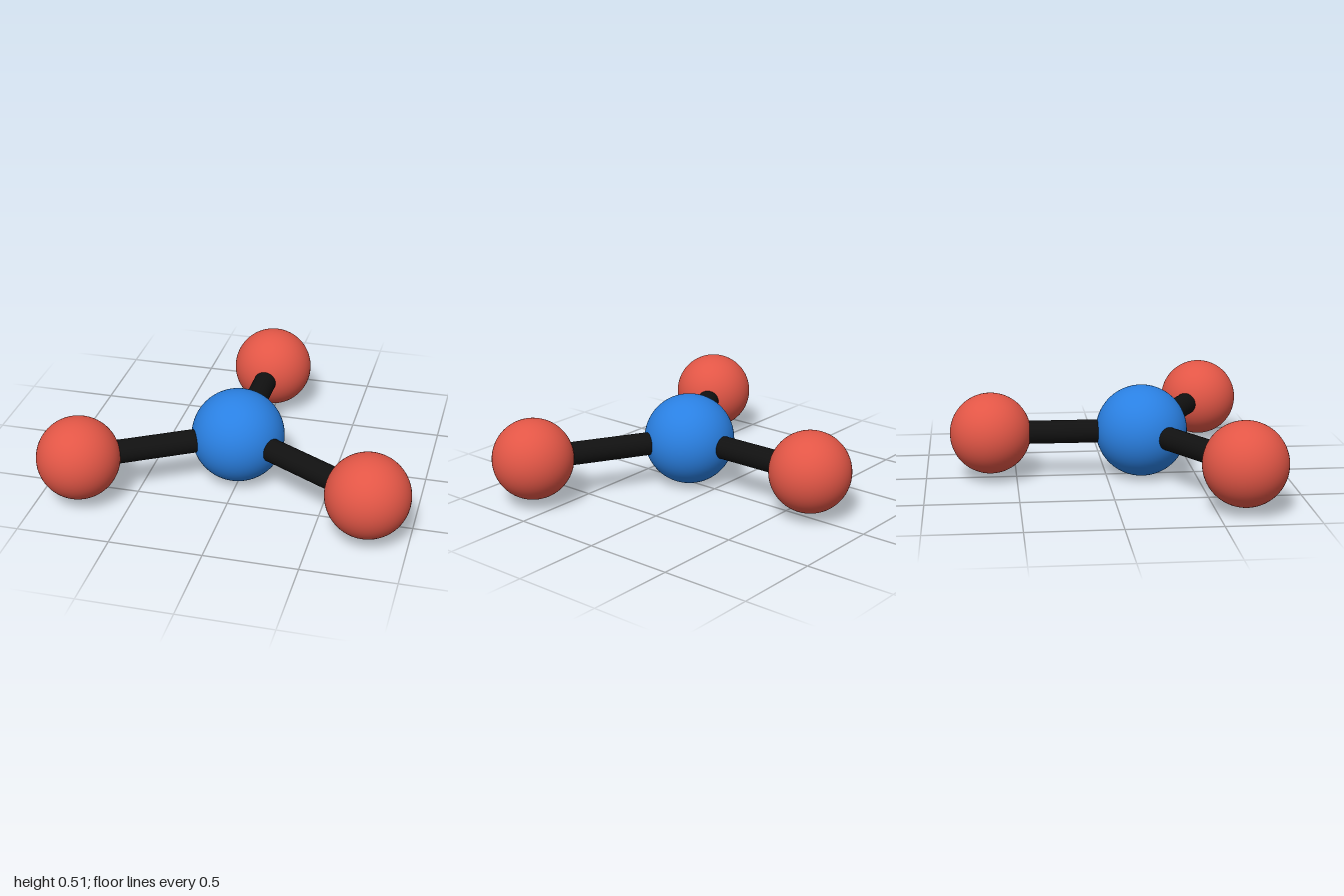
import * as THREE from 'three';

const CENTRE_RADIUS = 0.254;
const OUTER_RADIUS = 0.223;
const BOND_RADIUS = 0.064;

export function createModel() {
  const model = new THREE.Group();
  model.name = 'trigonalMolecule';

  const blue = new THREE.MeshStandardMaterial({ color: 0x2a80e2 });
  const red = new THREE.MeshStandardMaterial({ color: 0xe25646 });
  const black = new THREE.MeshStandardMaterial({ color: 0x111111 });

  const addAtom = (name, radius, position, material) => {
    const atom = new THREE.Mesh(new THREE.SphereGeometry(radius, 64, 40), material);
    atom.name = name;
    atom.position.copy(position);
    model.add(atom);
  };

  // Rod running from one atom centre to another
  const addBond = (name, from, to) => {
    const direction = to.clone().sub(from);
    const bond = new THREE.Mesh(
      new THREE.CylinderGeometry(BOND_RADIUS, BOND_RADIUS, direction.length(), 32), black);
    bond.name = name;
    bond.position.copy(from).add(to).multiplyScalar(0.5);
    bond.quaternion.setFromUnitVectors(new THREE.Vector3(0, 1, 0), direction.normalize());
    model.add(bond);
  };

  // Central atom
  const centre = new THREE.Vector3(-0.016, CENTRE_RADIUS, 0.197);
  addAtom('centralAtom', CENTRE_RADIUS, centre, blue);

  // Three outer atoms in one plane, each joined to the centre
  const outer = { left: [0.777, 0.641], right: [-0.777, 0.641], back: [-0.016, -0.641] };
  for (const [side, [x, z]] of Object.entries(outer)) {
    const position = new THREE.Vector3(x, 0.257, z);
    addAtom(side + 'Atom', OUTER_RADIUS, position, red);
    addBond(side + 'Bond', centre, position);
  }

  return model;
}
